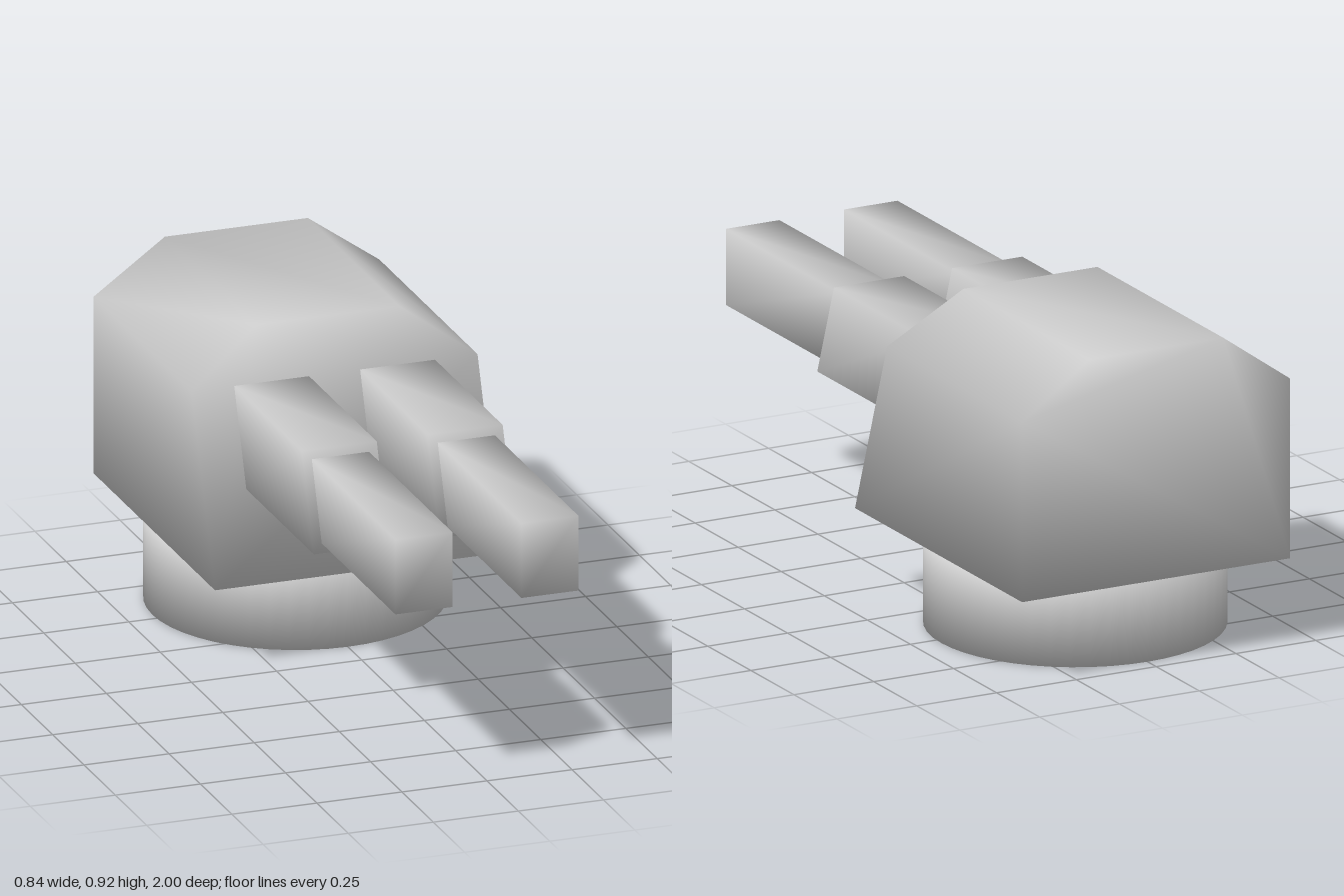
import * as THREE from 'three';
import { mergeVertices } from 'three/addons/utils/BufferGeometryUtils.js';

const material = new THREE.MeshStandardMaterial({ color: 0xcccccc });

// z of the sloping front plate at height y
const slope = (y) => -0.03 - 0.358 * (y - 0.25);

// Share every corner so that normals blend across all edges
function softened(geometry) {
  geometry.deleteAttribute('normal');
  geometry.deleteAttribute('uv');
  const merged = mergeVertices(geometry, 1e-4);
  merged.computeVertexNormals();
  return merged;
}

function part(name, geometry) {
  const mesh = new THREE.Mesh(softened(geometry), material);
  mesh.name = name;
  return mesh;
}

// Extrude an outline along z, with each end placed by a rule of the height
function prism(outline, back, front) {
  const shape = new THREE.Shape(outline.map(([x, y]) => new THREE.Vector2(x, y)));
  const geometry = new THREE.ExtrudeGeometry(shape, { depth: 1, bevelEnabled: false });
  const p = geometry.attributes.position;
  for (let i = 0; i < p.count; i++) {
    const y = p.getY(i);
    p.setZ(i, p.getZ(i) > 0.5 ? front(y) : back(y));
  }
  return geometry;
}

const rectangle = (x, halfWidth, y0, y1) => [
  [x - halfWidth, y0], [x + halfWidth, y0], [x + halfWidth, y1], [x - halfWidth, y1],
];

export function createModel() {
  const group = new THREE.Group();
  group.name = 'gunTurret';

  // Round base
  const base = new THREE.CylinderGeometry(0.42, 0.42, 0.25, 48);
  base.translate(0, 0.125, -0.53);
  group.add(part('base', base));

  // Housing with bevelled shoulders and a sloping front
  const outline = [[-0.42, 0.25], [0.42, 0.25], [0.42, 0.77], [0.21, 0.92], [-0.21, 0.92], [-0.42, 0.77]];
  group.add(part('housing', prism(outline, () => -1, slope)));

  // Twin guns: a thick sleeve cut parallel to the front, then a slimmer barrel
  const sleeveEnd = (y) => slope(y) + 0.54;
  for (const [side, x] of [['left', 0.185], ['right', -0.185]]) {
    group.add(part(side + 'Sleeve', prism(rectangle(x, 0.11, 0.5, 0.77), slope, sleeveEnd)));
    group.add(part(side + 'Barrel', prism(rectangle(x, 0.084, 0.526, 0.746), sleeveEnd, () => 1)));
  }
  return group;
}
